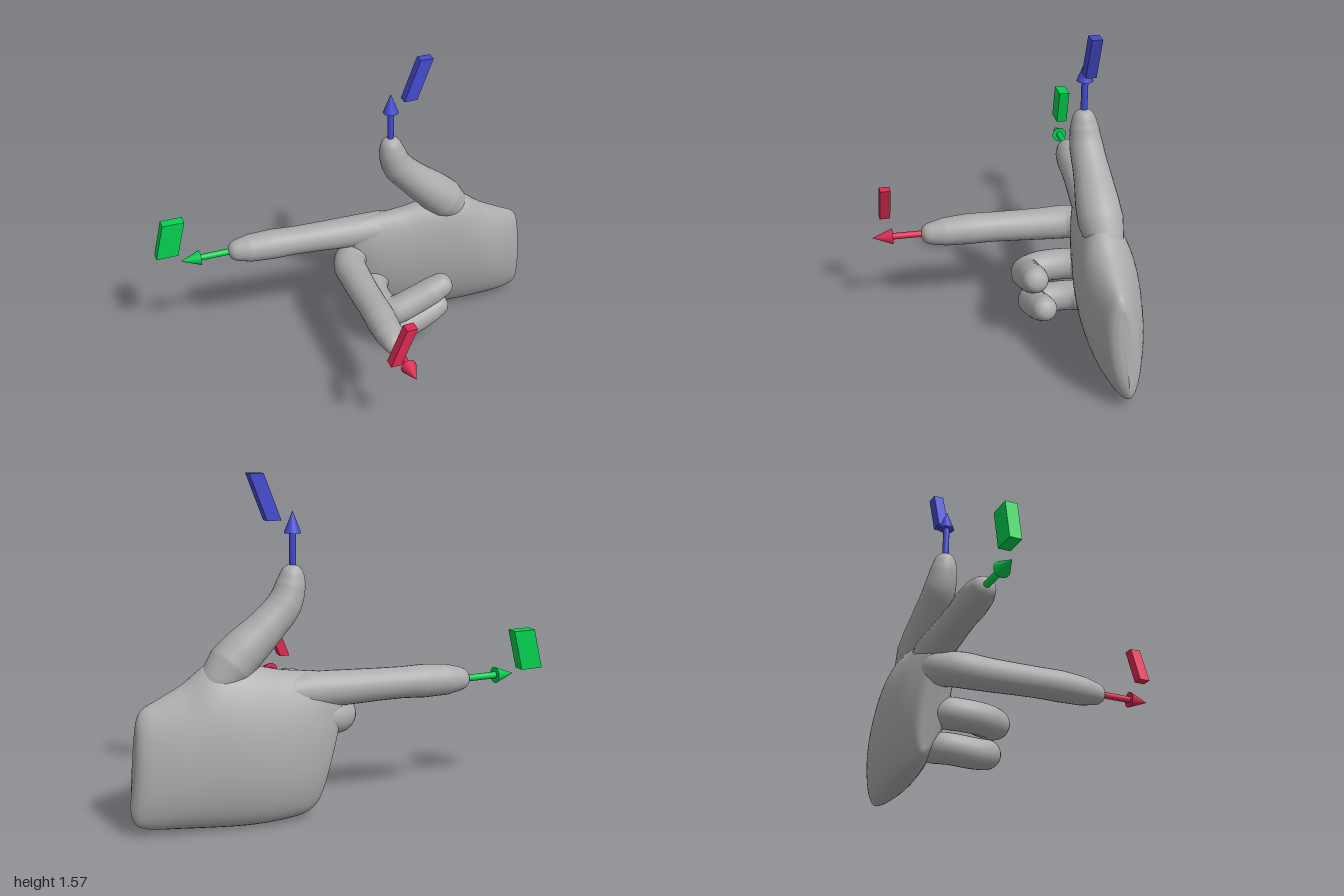
import * as THREE from 'three';
import { mergeVertices } from 'three/addons/utils/BufferGeometryUtils.js';

const V = (x, y, z) => new THREE.Vector3(x, y, z);
const paint = (name, color) => Object.assign(new THREE.MeshStandardMaterial({ color }), { name });

function add(parent, name, geometry, material) {
  const mesh = new THREE.Mesh(geometry, material);
  mesh.name = name;
  parent.add(mesh);
  return mesh;
}

// Tube with radii spaced evenly along its path and rounded ends
function fingerGeometry(points, radii) {
  const curve = new THREE.CatmullRomCurve3(points.map((p) => V(...p)));
  const rings = 72, sides = 24, length = curve.getLength();
  const g = new THREE.TubeGeometry(curve, rings, 1, sides);
  const pos = g.attributes.position, v = V();
  for (let i = 0; i < pos.count; i++) {
    const u = Math.floor(i / (sides + 1)) / rings;
    const s = u * (radii.length - 1), k = Math.min(Math.floor(s), radii.length - 2);
    const r = THREE.MathUtils.lerp(radii[k], radii[k + 1], s - k);
    const end = Math.min(1, (Math.min(u, 1 - u) * length) / (r * 0.9));
    const c = curve.getPointAt(u);
    v.fromBufferAttribute(pos, i).sub(c).multiplyScalar(r * Math.sqrt(1 - (1 - end) ** 2)).add(c);
    pos.setXYZ(i, v.x, v.y, v.z);
  }
  g.deleteAttribute('uv');
  g.deleteAttribute('normal');
  const merged = mergeVertices(g, 1e-5);
  merged.computeVertexNormals();
  return merged;
}

// Lens-shaped cross-sections lofted from the knuckles to the wrist
function palmGeometry() {
  // top x, top y, bottom x, bottom y, centre z, half thickness
  const rows = [
    [-0.04, 0.6, 0.12, 0.12, -0.475, 0],
    [-0.02, 0.64, 0.135, 0.07, -0.475, 0.062],
    [0.05, 0.667, 0.19, 0.03, -0.475, 0.095],
    [0.16, 0.677, 0.27, 0.015, -0.475, 0.122],
    [0.3, 0.695, 0.4, 0.005, -0.465, 0.14],
    [0.45, 0.73, 0.53, 0.005, -0.45, 0.152],
    [0.6, 0.745, 0.67, 0.012, -0.432, 0.15],
    [0.73, 0.66, 0.8, 0.022, -0.42, 0.132],
    [0.85, 0.6, 0.9, 0.03, -0.413, 0.1],
    [0.92, 0.565, 0.965, 0.05, -0.41, 0.07],
    [0.948, 0.52, 0.99, 0.09, -0.41, 0.038],
    [0.955, 0.47, 0.996, 0.14, -0.41, 0],
  ];
  const top = new THREE.CatmullRomCurve3(rows.map((r) => V(r[0], r[1], r[5])), false, 'catmullrom');
  const bottom = new THREE.CatmullRomCurve3(rows.map((r) => V(r[2], r[3], r[4])), false, 'catmullrom');
  const steps = 66, sides = 48, verts = [], index = [];
  for (let i = 0; i <= steps; i++) {
    const t = top.getPoint(i / steps), b = bottom.getPoint(i / steps);
    for (let j = 0; j < sides; j++) {
      const a = (j / sides) * Math.PI * 2, w = 0.5 + 0.5 * Math.cos(a);
      const y = THREE.MathUtils.lerp(b.y, t.y, w);
      const z = b.z + (y - 0.35) * 0.09 + Math.max(0, t.z) * Math.sin(a);
      verts.push(THREE.MathUtils.lerp(b.x, t.x, w), y, z);
      if (i === steps) continue;
      const n = (j + 1) % sides, p = i * sides, q = p + sides;
      index.push(p + j, p + n, q + j, p + n, q + n, q + j);
    }
  }
  const g = new THREE.BufferGeometry();
  g.setAttribute('position', new THREE.Float32BufferAttribute(verts, 3));
  g.setIndex(index);
  g.computeVertexNormals();
  return g;
}

// Arrow built along +y, then turned to its direction
function makeArrow(name, material, origin, direction) {
  const arrow = new THREE.Group();
  arrow.name = name;
  add(arrow, 'shaft', new THREE.CylinderGeometry(0.016, 0.016, 0.2, 20), material).position.y = 0.1;
  add(arrow, 'head', new THREE.ConeGeometry(0.039, 0.1, 24), material).position.y = 0.25;
  arrow.position.set(...origin);
  arrow.quaternion.setFromUnitVectors(V(0, 1, 0), V(...direction));
  return arrow;
}

export function createModel() {
  const model = new THREE.Group();
  model.name = 'handRuleModel';
  const grey = paint('handGrey', 0xacacac);
  const blue = paint('arrowBlue', 0x444bcf);
  const green = paint('arrowGreen', 0x04d050);
  const red = paint('arrowRed', 0xdc2a52);

  // Hand
  const hand = new THREE.Group();
  hand.name = 'hand';
  model.add(hand);
  add(hand, 'palm', palmGeometry(), grey);
  const fingers = {
    thumb: [
      [[0.64, 0.59, -0.42], [0.5, 0.745, -0.405], [0.35, 0.88, -0.405], [0.255, 0.98, -0.4], [0.22, 1.07, -0.395], [0.208, 1.162, -0.392]],
      [0.06, 0.088, 0.106, 0.102, 0.092, 0.084, 0.08, 0.068, 0.042]],
    indexFinger: [
      [[0.4, 0.575, -0.445], [0.2, 0.588, -0.46], [0, 0.588, -0.475], [-0.35, 0.587, -0.505], [-0.637, 0.58, -0.532]],
      [0.04, 0.075, 0.086, 0.084, 0.08, 0.076, 0.074, 0.078, 0.072, 0.045]],
    middleFinger: [
      [[0.16, 0.47, -0.47], [0.04, 0.455, -0.46], [-0.015, 0.445, -0.4], [-0.03, 0.44, -0.25], [-0.035, 0.446, 0.1], [-0.04, 0.435, 0.36]],
      [0.07, 0.083, 0.085, 0.08, 0.077, 0.075, 0.077, 0.07, 0.044]],
    ringFinger: [
      [[0.2, 0.29, -0.46], [0.115, 0.275, -0.39], [0.095, 0.265, -0.22], [0.13, 0.265, -0.15], [0.25, 0.31, -0.135], [0.452, 0.4, -0.13]],
      [0.07, 0.078, 0.078, 0.076, 0.075, 0.072, 0.056]],
    littleFinger: [
      [[0.26, 0.13, -0.46], [0.165, 0.12, -0.39], [0.14, 0.108, -0.24], [0.165, 0.12, -0.175], [0.27, 0.16, -0.165], [0.455, 0.232, -0.185]],
      [0.065, 0.075, 0.075, 0.073, 0.071, 0.068, 0.054]],
  };
  for (const [name, [path, radii]] of Object.entries(fingers)) {
    add(hand, name, fingerGeometry(path, radii), grey);
  }

  // Direction arrows, each with a plain slab marker: centre, size and share of the width its bar fills
  const arrows = [
    ['thumb', blue, [0.21, 1.1, -0.393], [0, 1, 0], [0.345, 1.465, -0.386], [0.15, 0.21, 0.05], 0.45],
    ['index', green, [-0.58, 0.58, -0.531], [-1, 0, 0], [-0.92, 0.705, -0.571], [0.16, 0.19, 0.055], 0.7],
    ['middle', red, [-0.04, 0.44, 0.298], [0, 0, 1], [-0.085, 0.605, 0.526], [0.13, 0.19, 0.052], 0.4],
  ];
  for (const [name, colour, origin, direction, centre, size, share] of arrows) {
    model.add(makeArrow(name + 'Arrow', colour, origin, direction));
    // Slanted bar that leans like a parallelogram
    const slab = new THREE.BoxGeometry(size[0] * share, size[1], size[2]);
    const lean = (size[0] * (1 - share)) / size[1];
    slab.applyMatrix4(new THREE.Matrix4().set(1, lean, 0, 0, 0, 1, 0, 0, 0, 0, 1, 0, 0, 0, 0, 1));
    add(model, name + 'Marker', slab, colour).position.set(...centre);
  }
  return model;
}
